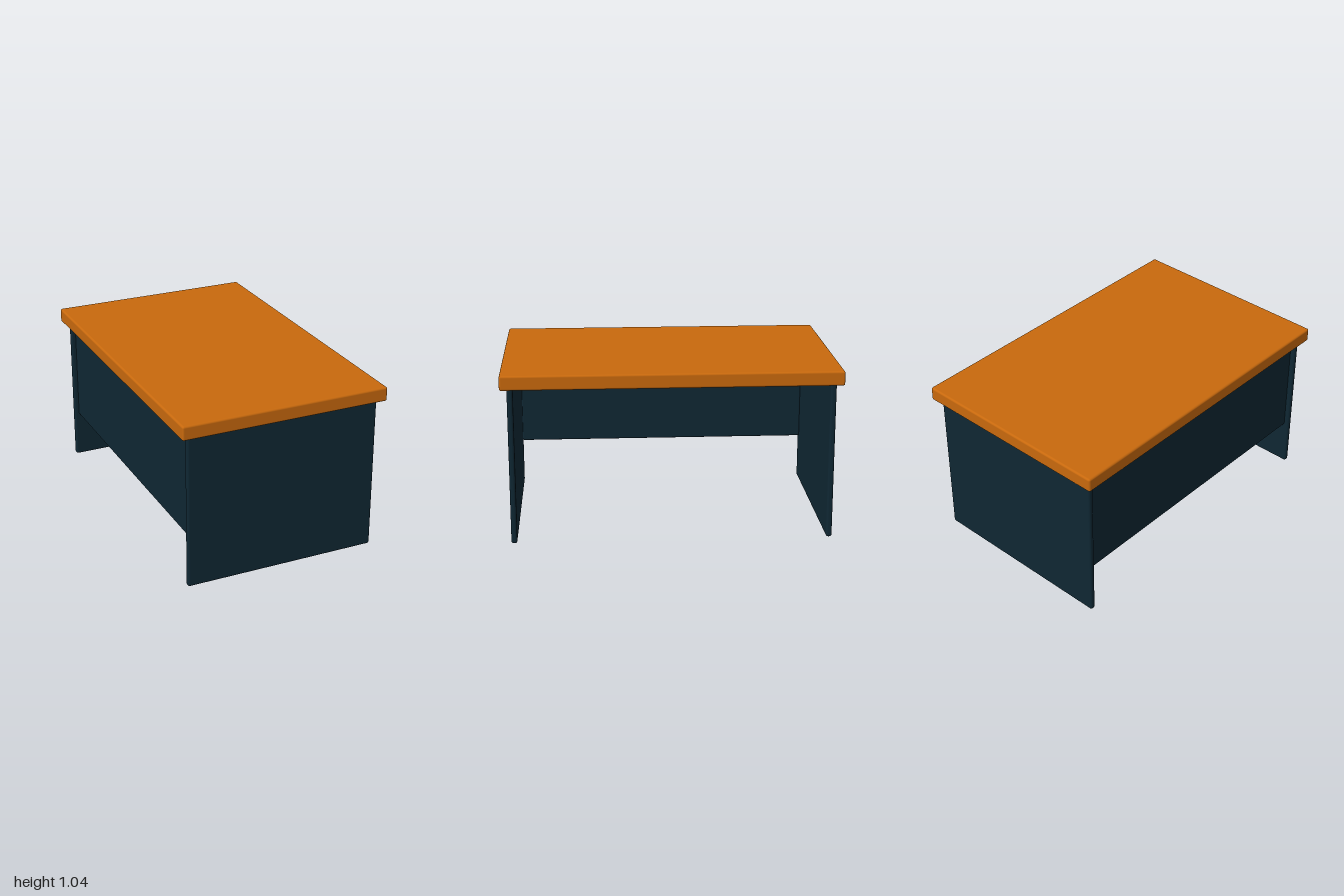
import * as THREE from 'three';
import { RoundedBoxGeometry } from 'three/addons/geometries/RoundedBoxGeometry.js';

export function createModel() {
  const group = new THREE.Group();
  group.name = 'desk';
  const wood = new THREE.MeshStandardMaterial({ name: 'orange wood', color: 0xc8690d });
  const navy = new THREE.MeshStandardMaterial({ name: 'dark navy', color: 0x0f2733 });

  // Board with softly rounded edges, given by its min and max corners
  const board = (name, min, max, radius, material) => {
    const size = max.map((v, i) => v - min[i]);
    const mesh = new THREE.Mesh(new RoundedBoxGeometry(...size, 3, radius), material);
    mesh.position.set(...max.map((v, i) => (v + min[i]) / 2));
    mesh.name = name;
    group.add(mesh);
  };

  // Desk top
  board('deskTop', [-0.64, 0.95, -1], [0.64, 1.037, 1], 0.012, wood);

  // Slab legs at both ends
  board('frontLeg', [-0.597, 0, 0.925], [0.597, 0.955, 0.96], 0.014, navy);
  board('backLeg', [-0.597, 0, -0.96], [0.597, 0.955, -0.925], 0.014, navy);

  // Modesty panel between the legs, slightly inset on one long side
  board('modestyPanel', [-0.57, 0.297, -0.927], [-0.535, 0.955, 0.927], 0.01, navy);

  return group;
}
